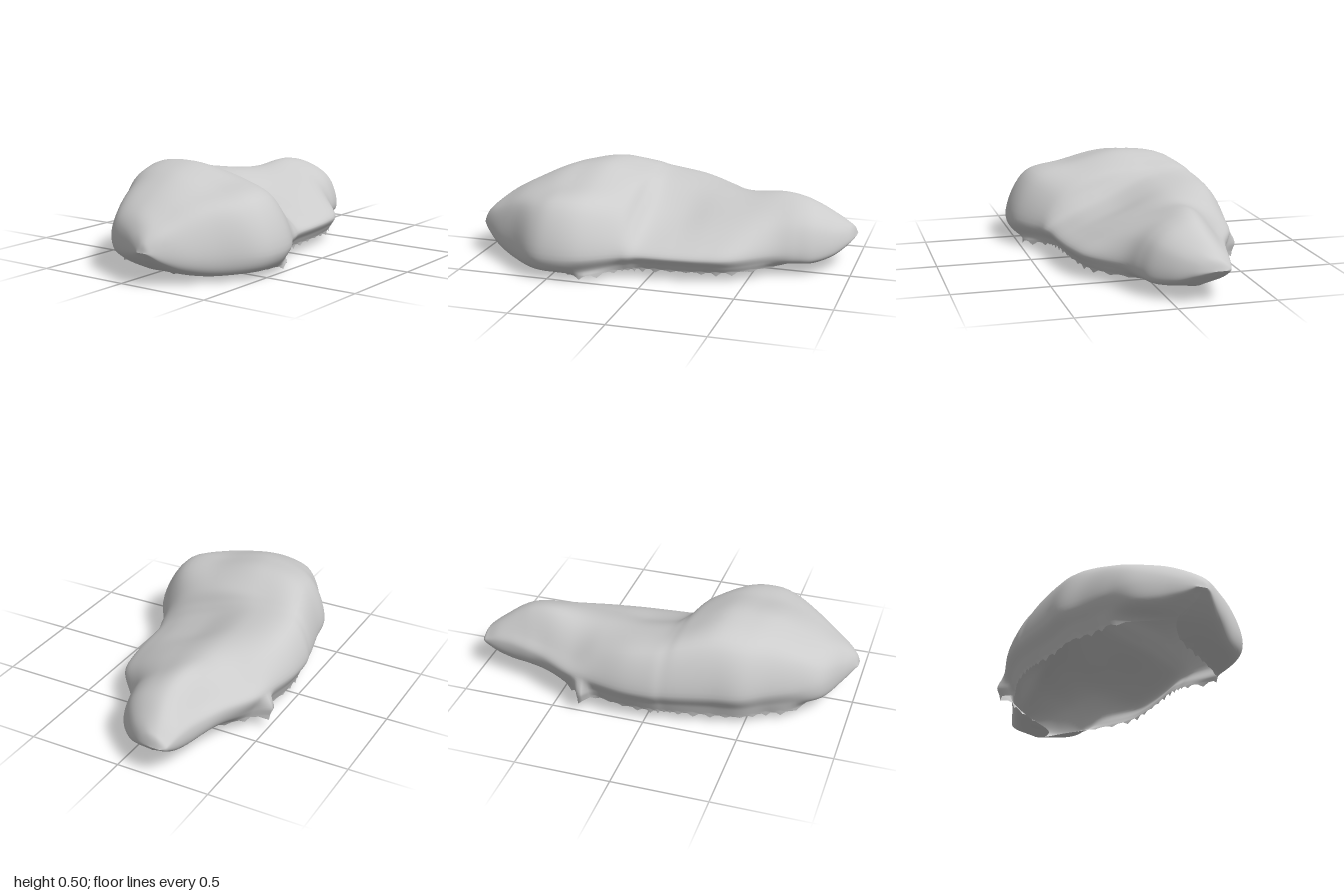
import * as THREE from 'three';

// Stations along the rock: z, left x, right x, then four crown heights from left to right
const STATIONS = [
  [-1.0, -0.24, -0.19, 0.165, 0.165, 0.165, 0.165],
  [-0.985, -0.265, -0.13, 0.185, 0.205, 0.205, 0.185],
  [-0.96, -0.275, -0.08, 0.2, 0.23, 0.23, 0.2],
  [-0.9, -0.29, 0.0, 0.23, 0.275, 0.265, 0.22],
  [-0.81, -0.31, 0.08, 0.25, 0.33, 0.315, 0.25],
  [-0.72, -0.335, 0.12, 0.255, 0.365, 0.34, 0.26],
  [-0.6, -0.375, 0.17, 0.255, 0.38, 0.34, 0.25],
  [-0.43, -0.46, 0.31, 0.265, 0.365, 0.31, 0.215],
  [-0.28, -0.495, 0.355, 0.32, 0.37, 0.295, 0.205],
  [-0.12, -0.525, 0.375, 0.365, 0.382, 0.28, 0.2],
  [0.03, -0.525, 0.385, 0.39, 0.4, 0.3, 0.21],
  [0.1, -0.51, 0.405, 0.405, 0.418, 0.345, 0.25],
  [0.17, -0.495, 0.43, 0.425, 0.448, 0.41, 0.31],
  [0.33, -0.455, 0.525, 0.45, 0.498, 0.44, 0.365],
  [0.48, -0.425, 0.545, 0.425, 0.485, 0.43, 0.375],
  [0.6, -0.35, 0.51, 0.395, 0.455, 0.41, 0.35],
  [0.74, -0.27, 0.39, 0.345, 0.39, 0.375, 0.32],
  [0.86, -0.18, 0.295, 0.28, 0.325, 0.315, 0.27],
  [0.94, -0.02, 0.22, 0.23, 0.26, 0.26, 0.23],
  [0.985, 0.075, 0.175, 0.19, 0.21, 0.21, 0.19],
  [1.0, 0.1, 0.15, 0.165, 0.165, 0.165, 0.165],
];
const CROWN = [0.1, 0.36, 0.64, 0.88];
const { lerp, smoothstep } = THREE.MathUtils;

// Cross-section from the left rim, over the crown, to the right rim
function section([z, xl, xr, ...heights]) {
  const w = xr - xl;
  const end = Math.max(0, (Math.abs(z) - 0.8) / 0.2) ** 2;
  const front = smoothstep(z, 0, 0.4);
  // the underside closes beneath both noses, along a slanting edge
  const under = z > 0 ? smoothstep(z, 0.76, 0.88) : smoothstep(-z, 0.64, 0.8);
  const rim = (base) => lerp(lerp(base, 0.045, under), 0.165, end);
  const rimL = rim(lerp(0.06, 0.045, front));
  const rimR = rim(lerp(0.05, 0.02, front));
  const sideL = lerp(0.2, 0.165, end);
  const sideR = lerp(0.13, 0.165, end);
  const middle = (xl + xr) / 2;
  const rimXL = lerp(Math.max(xl + 0.06, -0.85 - z), middle, under);
  const rimXR = lerp(Math.min(xr - 0.045, 0.85 - z), middle, under);
  const p = (x, y) => new THREE.Vector3(x, y, z);
  return [
    p(rimXL, rimL),
    p(xl + w * 0.04, lerp(rimL, sideL, 0.4)),
    p(xl, sideL),
    ...heights.map((h, i) => p(xl + w * CROWN[i], h)),
    p(xr, sideR),
    p(xr - w * lerp(0.03, 0.045, front), lerp(rimR, sideR, lerp(0.4, 0.22, front))),
    p(rimXR, rimR),
  ];
}

// Smooth shell lofted through all the sections, open below its middle
function shellGeometry(rows = 120, cols = 60) {
  const sections = STATIONS.map(section);
  const rails = sections[0].map((_, k) =>
    new THREE.CatmullRomCurve3(sections.map((s) => s[k]), false, 'catmullrom', 0.5));
  const positions = [];
  const index = [];
  for (let i = 0; i <= rows; i++) {
    const arc = new THREE.CatmullRomCurve3(rails.map((r) => r.getPoint(i / rows)));
    for (let j = 0; j <= cols; j++) {
      const v = arc.getPoint(j / cols);
      // ragged lower edge
      if ((j === 0 || j === cols) && i % 3 === 0 && v.z > -0.65 && v.z < 0.75) {
        v.y -= 0.013 + 0.007 * Math.sin(i * 1.7);
      }
      // small spur drawn out of the flank
      if (j < cols / 2) {
        const along = Math.exp(-(((v.z + 0.345) / 0.035) ** 2));
        v.x -= 0.08 * along * (1 - smoothstep(v.y, 0.1, 0.2));
      }
      positions.push(v.x, v.y, v.z);
      if (i < rows && j < cols) {
        const a = i * (cols + 1) + j;
        const b = a + cols + 1;
        index.push(a, b, a + 1, b, b + 1, a + 1);
      }
    }
  }
  const geometry = new THREE.BufferGeometry();
  geometry.setAttribute('position', new THREE.Float32BufferAttribute(positions, 3));
  geometry.setIndex(index);
  geometry.computeVertexNormals();
  return geometry;
}

export function createModel() {
  const group = new THREE.Group();
  group.name = 'rock';
  const material = new THREE.MeshStandardMaterial({ color: 0xcccccc, side: THREE.DoubleSide });
  const shell = new THREE.Mesh(shellGeometry(), material);
  shell.name = 'rockShell';
  group.add(shell);
  return group;
}
